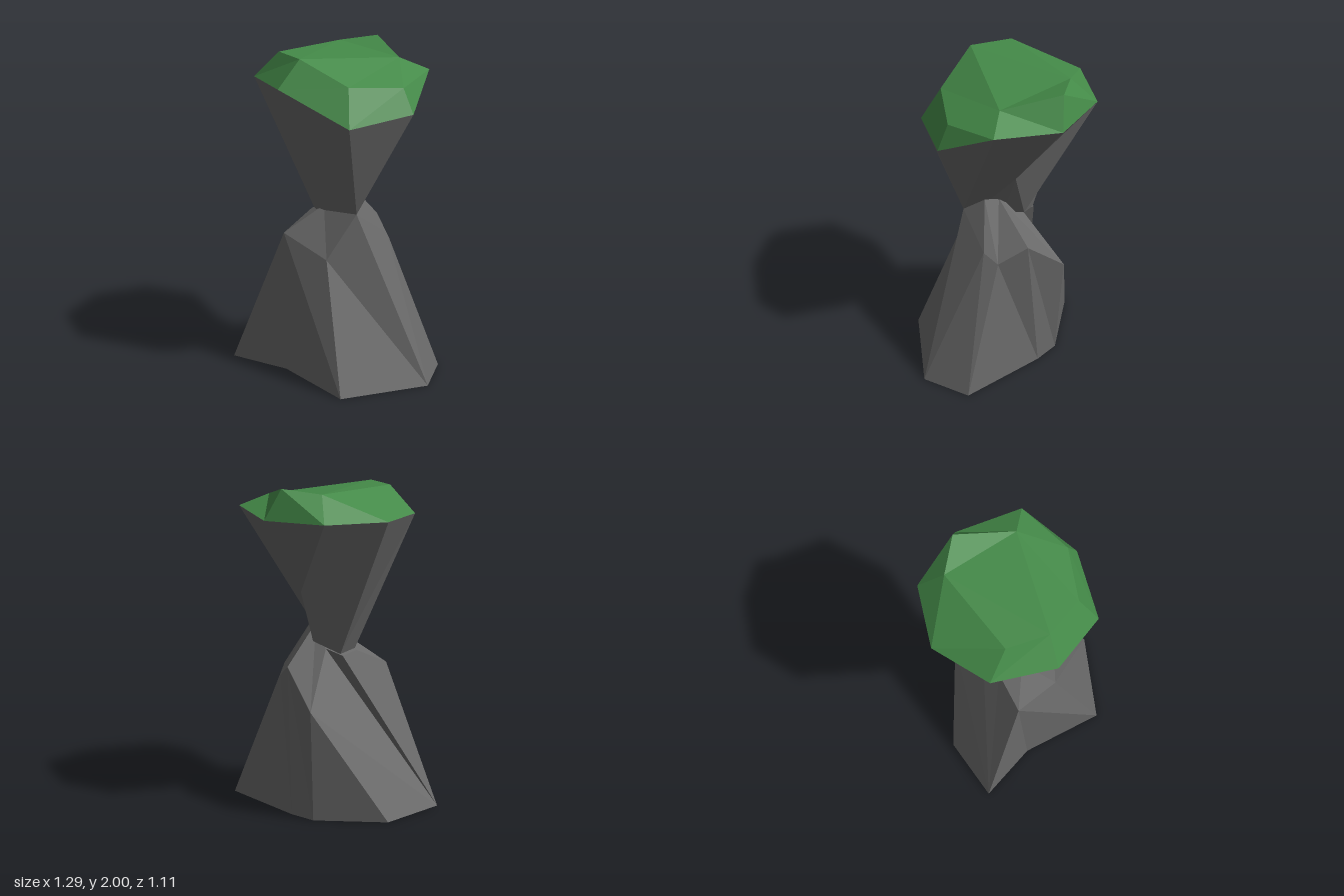
import * as THREE from 'three';

const rock = new THREE.MeshStandardMaterial({ color: 0x686868, flatShading: true, side: THREE.DoubleSide });
rock.name = 'grey rock';
const grass = new THREE.MeshStandardMaterial({ color: 0x448a48, flatShading: true, side: THREE.DoubleSide });
grass.name = 'green grass';

function facetMesh(name, triangles, material) {
  const geometry = new THREE.BufferGeometry();
  geometry.setAttribute('position', new THREE.Float32BufferAttribute(triangles.flat(2), 3));
  geometry.computeVertexNormals();
  const mesh = new THREE.Mesh(geometry, material);
  mesh.name = name;
  return mesh;
}

// Joins closed rings from bottom to top; repeated points collapse into triangles.
// The flag picks which diagonal splits each four-sided facet.
function loft(rings, fallingDiagonal) {
  const triangles = [];
  const add = (a, b, c) => {
    if (a !== b && b !== c && c !== a) triangles.push([a, b, c]);
  };
  for (let i = 0; i < rings.length - 1; i++) {
    const low = rings[i], high = rings[i + 1], n = low.length;
    for (let j = 0; j < n; j++) {
      const k = (j + 1) % n;
      add(low[j], low[k], fallingDiagonal ? high[j] : high[k]);
      add(fallingDiagonal ? low[k] : low[j], high[k], high[j]);
    }
  }
  return triangles;
}

export function createModel() {
  const model = new THREE.Group();
  model.name = 'rockPillar';

  // Lower rock: open foot, uneven shoulder and narrow neck
  const foot = [[-0.645, -0.075], [-0.31, 0.13], [0.015, 0.555], [0.55, 0.39], [0.643, 0.09],
    [0.24, -0.28], [0.1, -0.37], [-0.35, -0.37]].map(([x, z]) => [x, 0, z]);
  const leftShoulder = [-0.315, 0.88, 0.07];
  const frontShoulder = [-0.06, 0.77, 0.26];
  const frontNeck = [0.12, 1.04, 0.21];
  const backShoulder = [0.11, 0.69, -0.41];
  const backNeck = [0.04, 1.01, -0.14];
  const backLedge = [-0.065, 0.98, -0.19];
  const leftLedge = [-0.14, 0.99, -0.08];
  const leftNeck = [-0.07, 1.05, 0.05];
  const sideNeck = [0.11, 1.14, -0.005];
  const [b0, b1, b2, b3, b4, b5, b6, b7] = foot;
  const footRing = [b0, b1, b2, b3, b3, b4, b5, b6, b7, b0, b0, b0];
  const shoulderRing = [leftShoulder, leftShoulder, frontShoulder, frontNeck, [0.31, 0.87, 0.05],
    [0.33, 0.81, -0.04], [0.265, 0.91, -0.21], backShoulder, backShoulder, backNeck, backLedge, leftLedge];
  const neckRing = [leftNeck, leftNeck, leftNeck, frontNeck, [0.14, 1.14, 0.075],
    sideNeck, sideNeck, backNeck, backNeck, backNeck, backLedge, leftNeck];
  const bodyTop = [0.03, 1.06, 0];
  model.add(facetMesh('lowerRock', loft([footRing, shoulderRing, neckRing, neckRing.map(() => bodyTop)], true), rock));

  // Upper rock: flares from the neck to the grass rim
  const rim = [[-0.48, 1.82, -0.06], [-0.335, 1.82, 0.29], [0.065, 1.625, 0.463], [0.44, 1.665, 0.28],
    [0.56, 1.857, -0.06], [0.368, 1.82, -0.41], [0.015, 1.82, -0.555], [-0.335, 1.82, -0.41]];
  const notch = [0.19, 1.35, -0.12];
  const flareNeck = [[-0.13, 1.0, -0.07], [-0.11, 1.0, 0.03], frontNeck, frontNeck, [0.125, 1.14, 0.04],
    notch, notch, [0.115, 1.06, -0.16], [-0.05, 0.99, -0.185]];
  const [r0, r1, r2, r3, r4, r5, r6, r7] = rim;
  const flareRim = [r0, r1, r2, r3, r4, r5, r6, r6, r7];
  const flareBase = [0.05, 1.0, -0.02];
  model.add(facetMesh('upperRock', loft([flareNeck.map(() => flareBase), flareNeck, flareRim], false), rock));

  // Grass cap: bevelled rim around a faceted crown
  const p = [...rim, [0.385, 1.81, 0.23], [0.065, 1.84, 0.34], [-0.21, 1.98, 0.22], [-0.33, 1.98, 0],
    [0.04, 1.97, -0.4], [0.27, 2, -0.395], [0.38, 1.93, -0.06]];
  const bevel = [[1, 2, 9], [1, 9, 10], [2, 3, 8], [2, 8, 9], [3, 4, 8], [4, 14, 8], [4, 5, 14], [5, 13, 14],
    [5, 6, 13], [6, 12, 13], [6, 7, 12], [7, 11, 12], [7, 0, 11], [0, 1, 10], [0, 10, 11]];
  const crown = [[11, 10, 12], [10, 14, 12], [10, 9, 14], [9, 8, 14], [12, 14, 13]];
  model.add(facetMesh('grassCap', [...bevel, ...crown].map((f) => f.map((i) => p[i])), grass));

  return model;
}
